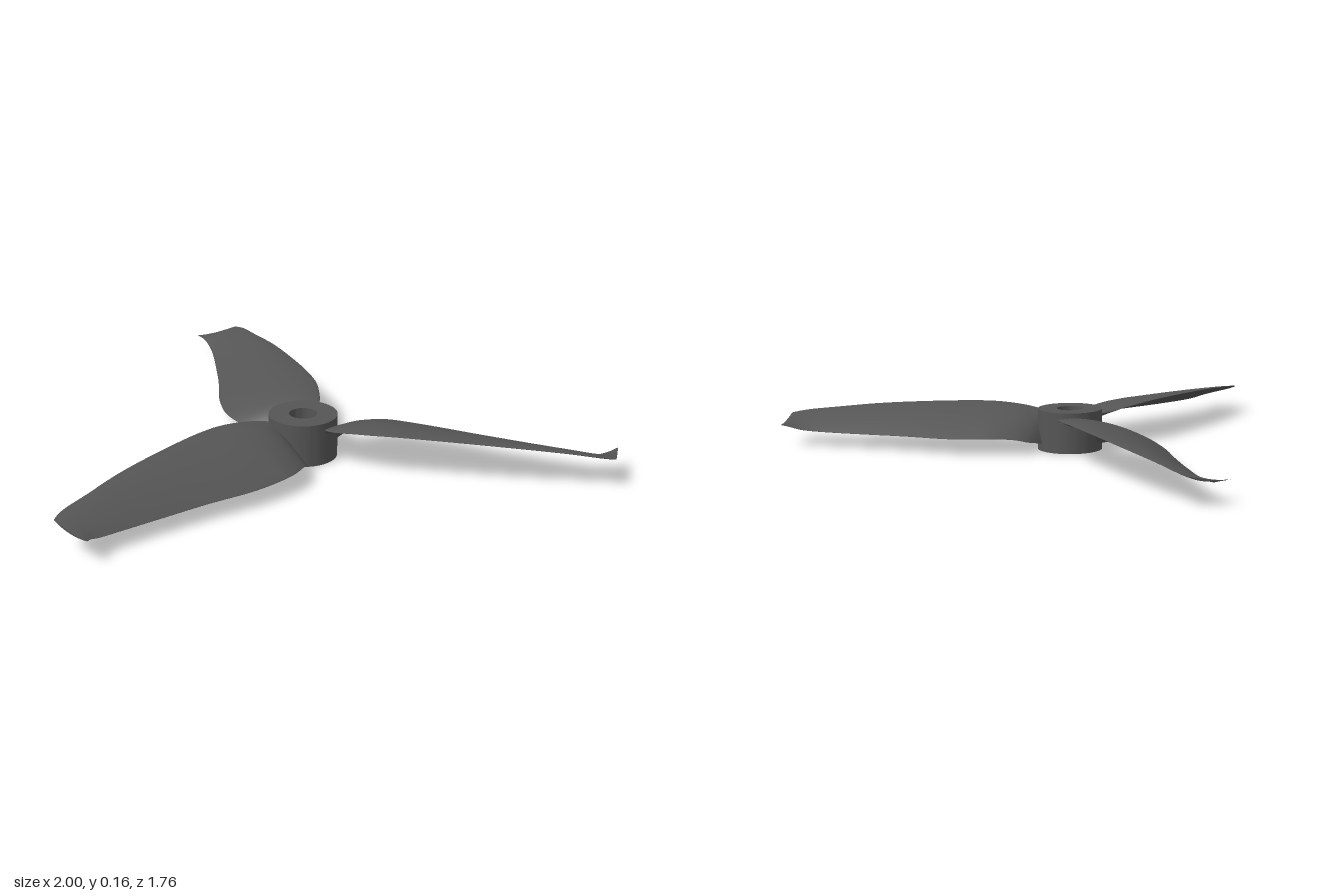
import * as THREE from 'three';
import { toCreasedNormals } from 'three/addons/utils/BufferGeometryUtils.js';

// Stations: radius, leading offset, leading height, trailing offset, trailing height, camber, half thickness
const STATIONS = [
  [0.085, 0.05, 0.125, -0.05, 0.022, 0.005, 0.014],
  [0.1, 0.082, 0.13, -0.08, 0.03, 0.01, 0.014],
  [0.14, 0.107, 0.136, -0.145, 0.045, 0.016, 0.013],
  [0.193, 0.123, 0.144, -0.18, 0.06, 0.02, 0.012],
  [0.273, 0.139, 0.151, -0.207, 0.066, 0.022, 0.011],
  [0.353, 0.142, 0.154, -0.205, 0.063, 0.022, 0.011],
  [0.46, 0.139, 0.153, -0.19, 0.06, 0.02, 0.01],
  [0.62, 0.128, 0.148, -0.15, 0.059, 0.017, 0.009],
  [0.78, 0.112, 0.14, -0.118, 0.057, 0.013, 0.008],
  [0.94, 0.086, 0.127, -0.09, 0.057, 0.008, 0.007],
  [1.03, 0.074, 0.119, -0.083, 0.062, 0.002, 0.006],
  [1.075, 0.064, 0.113, -0.09, 0.074, -0.004, 0.005],
  [1.107, 0.05, 0.107, -0.11, 0.085, -0.009, 0.004],
];

const curveOf = (a, b) => new THREE.CatmullRomCurve3(
  STATIONS.map((s) => new THREE.Vector3(s[a], s[b], s[0])), false, 'catmullrom', 0.5);

// Twisted, cambered blade lofted along -z
function bladeGeometry() {
  const M = 18, ring = 2 * M, rows = 72;
  const leading = curveOf(1, 2), trailing = curveOf(3, 4), section = curveOf(5, 6);
  const pos = [], index = [];

  const addRing = (t) => {
    const l = leading.getPoint(t), e = trailing.getPoint(t), c = section.getPoint(t);
    for (let j = 0; j < ring; j++) {
      const top = j <= M;
      const u = (1 - Math.cos(Math.PI * (top ? j : ring - j) / M)) / 2;
      const thick = c.y * Math.sin(Math.PI * Math.pow(u, 0.7));
      const y = l.y + (e.y - l.y) * u + c.x * 4 * u * (1 - u) + (top ? thick : -thick);
      pos.push(l.x + (e.x - l.x) * u, y, -l.z);
    }
  };

  for (let i = 0; i <= rows; i++) addRing(i / rows);
  for (let i = 0; i < rows; i++) {
    for (let j = 0; j < ring; j++) {
      const k = (j + 1) % ring;
      const a = i * ring + j, b = i * ring + k, c = a + ring, d = b + ring;
      index.push(a, c, b, b, c, d);
    }
  }
  // Flat cap at the cut-off tip
  const base = pos.length / 3;
  addRing(1);
  for (let j = 0; j < M; j++) {
    const a = base + j, b = a + 1;
    const c = base + ring - j - 1, d = base + (ring - j) % ring;
    if (j < M - 1) index.push(a, c, b);
    if (j > 0) index.push(a, d, c);
  }
  const geo = new THREE.BufferGeometry();
  geo.setAttribute('position', new THREE.Float32BufferAttribute(pos, 3));
  geo.setIndex(index);
  geo.computeVertexNormals();
  return geo;
}

// Round hub with a shaft hole right through it
function hubGeometry() {
  const shape = new THREE.Shape().absarc(0, 0, 0.123, 0, Math.PI * 2, false);
  shape.holes.push(new THREE.Path().absarc(0, 0, 0.05, 0, Math.PI * 2, true));
  const geo = new THREE.ExtrudeGeometry(shape, { depth: 0.155, bevelEnabled: false, curveSegments: 48 });
  geo.rotateX(-Math.PI / 2);
  return toCreasedNormals(geo, 0.6);
}

export function createModel() {
  const model = new THREE.Group();
  model.name = 'propeller';
  const plastic = new THREE.MeshStandardMaterial({ color: 0x555555 });
  plastic.name = 'dark grey plastic';

  const rotor = new THREE.Group();
  rotor.name = 'rotor';
  rotor.position.set(-0.02, 0, 0.223);
  model.add(rotor);

  const hub = new THREE.Mesh(hubGeometry(), plastic);
  hub.name = 'hub';
  rotor.add(hub);

  // Three equal blades around the hub
  const geo = bladeGeometry();
  for (let i = 0; i < 3; i++) {
    const blade = new THREE.Mesh(geo, plastic);
    blade.name = 'blade' + (i + 1);
    blade.rotation.y = (i * Math.PI * 2) / 3;
    rotor.add(blade);
  }
  return model;
}
